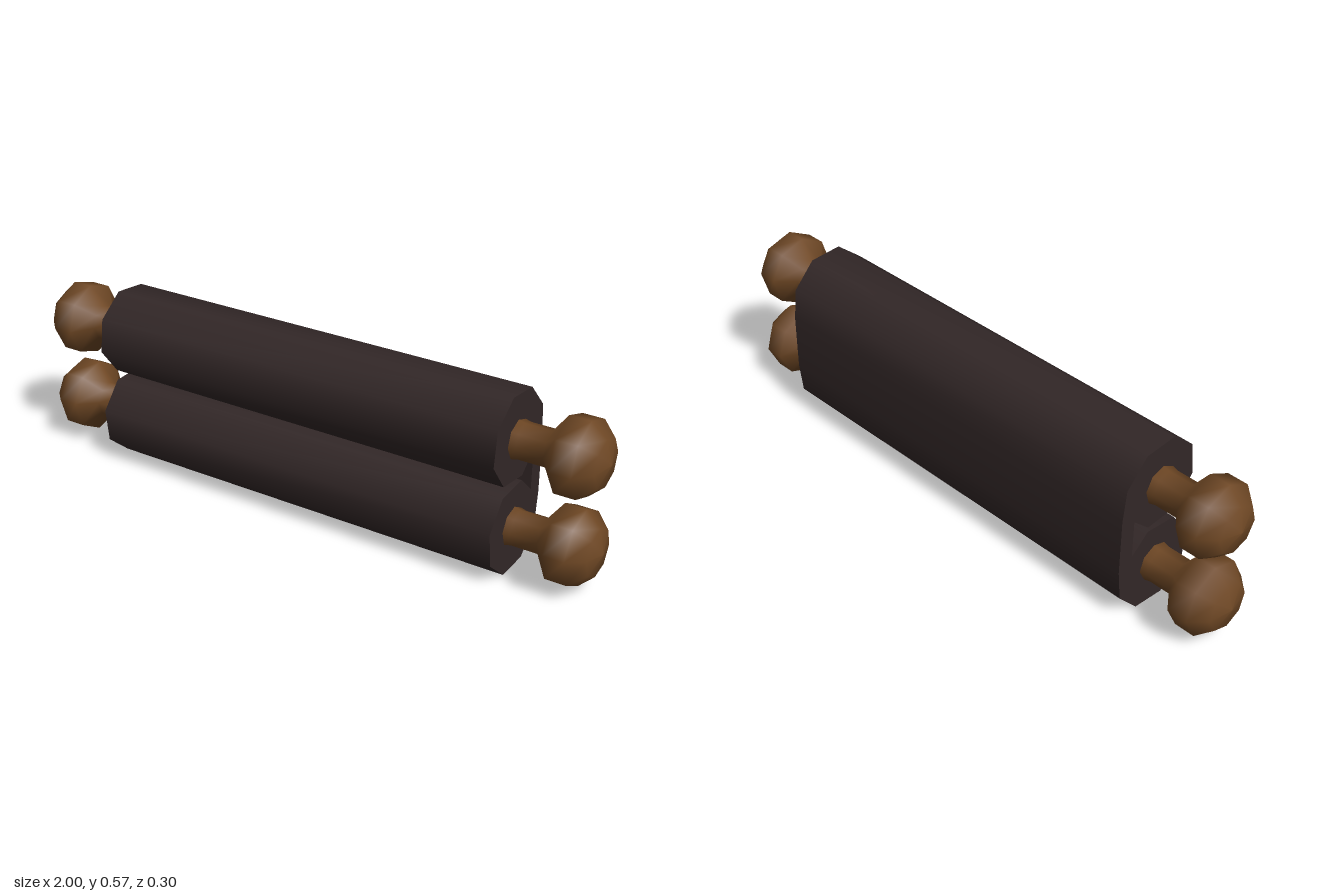
import * as THREE from 'three';
import { toCreasedNormals } from 'three/addons/utils/BufferGeometryUtils.js';

const MID_Y = 0.284; // height of the symmetry plane between both rolls
const ROLL_LENGTH = 1.43;

export function createModel() {
  const group = new THREE.Group();
  group.name = 'scroll';
  const parchment = new THREE.MeshStandardMaterial({ color: 0x322727 });
  parchment.name = 'dark parchment';
  const wood = new THREE.MeshStandardMaterial({ color: 0x6e4724 });
  wood.name = 'brown wood';

  // Upper half of the rolled sheet's section as [z, height above the middle],
  // from the back web round to the inner corner; mirrored for the lower roll
  const half = [
    [-0.147, 0.093], [-0.135, 0.195], [-0.06, 0.275], [0.05, 0.283], [0.135, 0.213],
    [0.148, 0.105], [0.08, 0.018], [-0.032, 0.008], [-0.095, 0.064],
  ];
  const section = [...half, ...half.map(([z, y]) => [z, -y]).reverse()];
  const shape = new THREE.Shape(section.map(([z, y]) => new THREE.Vector2(-z, y)));
  const sheetGeometry = new THREE.ExtrudeGeometry(shape, { depth: ROLL_LENGTH, bevelEnabled: false });
  sheetGeometry.translate(0, 0, -ROLL_LENGTH / 2).rotateY(Math.PI / 2);
  const sheet = new THREE.Mesh(toCreasedNormals(sheetGeometry, 0.85), parchment);
  sheet.name = 'rolledSheet';
  sheet.position.y = MID_Y;
  group.add(sheet);

  // Turned rod with a knob at each end: [distance from centre, radius]
  const end = [
    [0.7, 0.065], [0.735, 0.057], [0.82, 0.057], [0.868, 0.12],
    [0.935, 0.12], [0.983, 0.075], [1, 0],
  ];
  const profile = [...end.map(([x, r]) => [-x, r]).reverse(), ...end]
    .map(([x, r]) => new THREE.Vector2(r, x));
  for (const side of [1, -1]) {
    const rodGeometry = new THREE.LatheGeometry(profile, 8, side * 0.087);
    rodGeometry.rotateZ(-Math.PI / 2);
    const rod = new THREE.Mesh(rodGeometry, wood);
    rod.name = side > 0 ? 'upperRod' : 'lowerRod';
    rod.position.set(0, MID_Y + side * 0.14, 0.008);
    group.add(rod);
  }
  return group;
}
